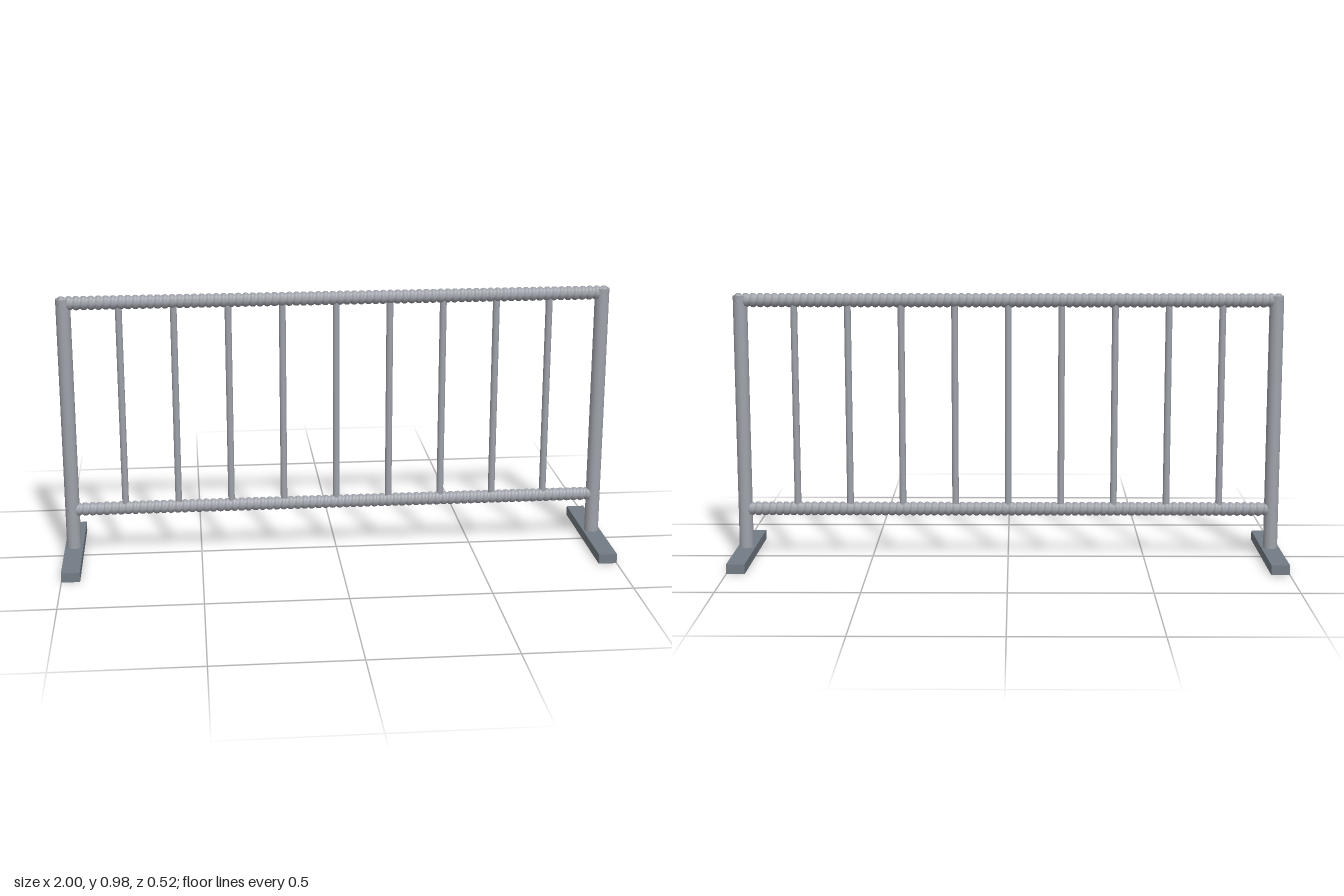
import * as THREE from 'three';

export function createModel() {
  const model = new THREE.Group();
  model.name = 'barrier';
  const steel = new THREE.MeshStandardMaterial({ color: 0x9fa2aa });
  steel.name = 'galvanised steel';
  const footGrey = new THREE.MeshStandardMaterial({ color: 0x737c85 });
  footGrey.name = 'foot grey';

  function add(name, geometry, material, x, y, z = 0) {
    const mesh = new THREE.Mesh(geometry, material);
    mesh.name = name;
    mesh.position.set(x, y, z);
    model.add(mesh);
    return mesh;
  }

  const postX = 0.967, lowY = 0.18, highY = 0.949;

  // End posts on flat feet
  const footGeometry = new THREE.BoxGeometry(0.066, 0.035, 0.524);
  const postGeometry = new THREE.CylinderGeometry(0.026, 0.026, 0.931, 16);
  for (const [side, s] of [['left', 1], ['right', -1]]) {
    add(side + 'Foot', footGeometry, footGrey, s * postX, 0.0175);
    add(side + 'Post', postGeometry, steel, s * postX, 0.0345 + 0.4655);
  }

  // Ribbed rails: one eight-sided lathe with a repeated bead profile
  const beads = 76, half = 0.985, pitch = (2 * half) / beads;
  const profile = [new THREE.Vector2(0, -half)];
  for (let i = 0; i < beads; i++) {
    const start = -half + i * pitch;
    for (const [t, r] of [[0, 0.02], [0.25, 0.025], [0.5, 0.026], [0.75, 0.025]]) {
      profile.push(new THREE.Vector2(r, start + t * pitch));
    }
  }
  profile.push(new THREE.Vector2(0.02, half), new THREE.Vector2(0, half));
  const railGeometry = new THREE.LatheGeometry(profile, 8);
  railGeometry.rotateZ(-Math.PI / 2);
  add('topRail', railGeometry, steel, 0, highY);
  add('bottomRail', railGeometry, steel, 0, lowY);

  // Upright bars between the rails
  const barGeometry = new THREE.CylinderGeometry(0.0125, 0.0125, highY - lowY, 10);
  for (let i = -4; i <= 4; i++) {
    add('bar' + (i + 5), barGeometry, steel, i * 0.1934, (lowY + highY) / 2);
  }
  return model;
}
